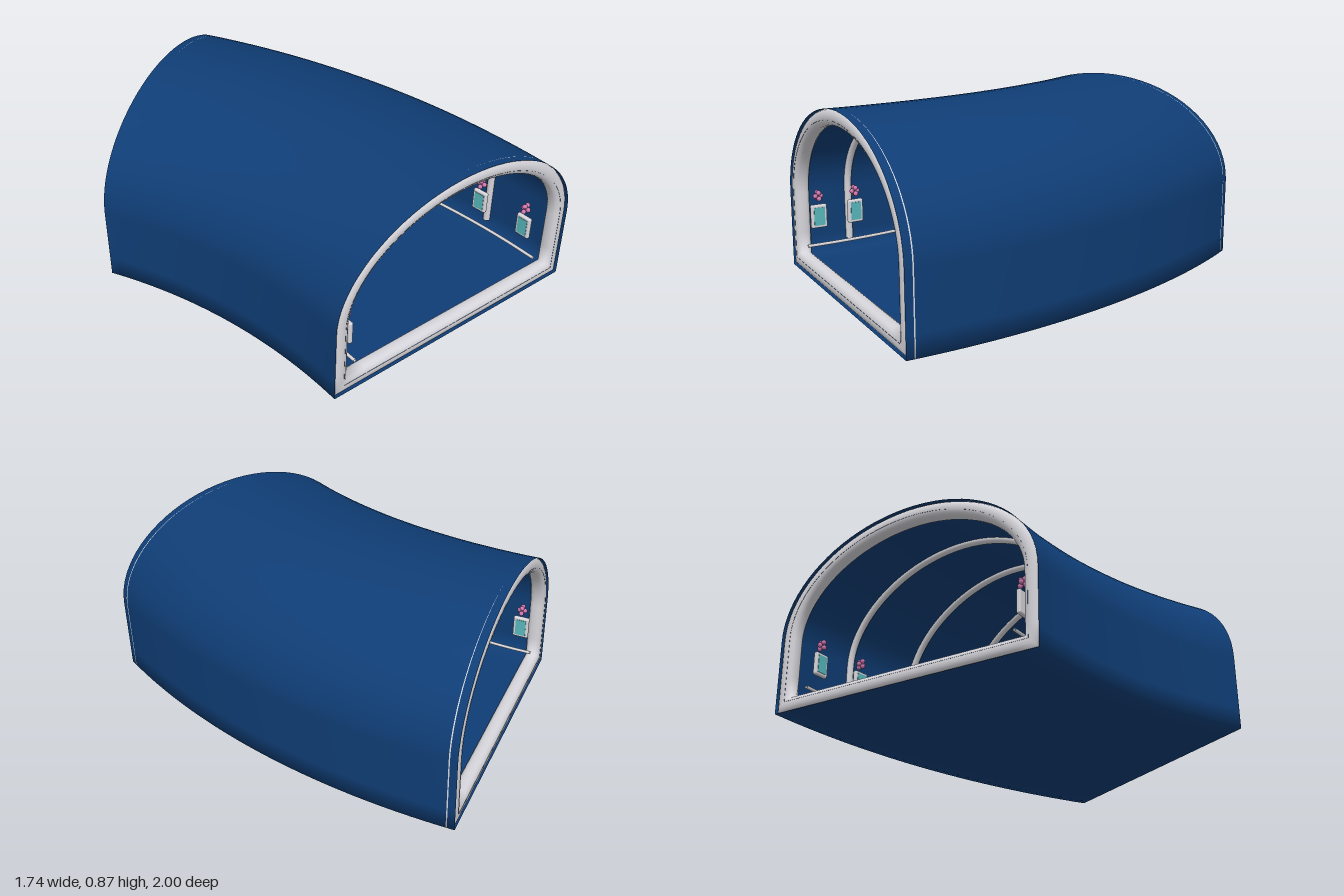
import * as THREE from 'three';
import { RoundedBoxGeometry } from 'three/addons/geometries/RoundedBoxGeometry.js';

// Tunnel bend: a 30 degree arc around a pivot on the right-hand side
const PIVOT_X = -3.13, MID_R = 3.3025, HALF = 0.6975;
const WALL_Y = 0.37, TOP_Y = 0.87, END = Math.PI / 6;
const deg = THREE.MathUtils.degToRad;

const mat = (name, color, side = THREE.FrontSide) => {
  const m = new THREE.MeshStandardMaterial({ color, side });
  m.name = name;
  return m;
};

// Point on the bend: angle, offset across, height, shift along the tunnel
function bend(a, u, y, d = 0) {
  const r = MID_R + u;
  return [PIVOT_X + r * Math.cos(a) - d * Math.sin(a), y, 1 - r * Math.sin(a) - d * Math.cos(a)];
}

// Arch over the walls, from right to left, inset from the outer skin
function arch(inset, n = 40) {
  const pts = [];
  for (let i = 0; i <= n; i++) {
    const t = Math.PI * i / n;
    pts.push([(HALF - inset) * Math.cos(t), WALL_Y + (TOP_Y - WALL_Y - inset) * Math.sin(t)]);
  }
  return pts;
}

// Closed cross-section: floor, walls and arch
function section(inset) {
  const w = HALF - inset, e = w - 0.1;
  return [[-w, inset], [-e, inset], [0, inset], [e, inset], [w, inset], [w, inset + 0.1],
    ...arch(inset), [-w, inset + 0.1]];
}

// Smooth surface from rows of points; each row is a closed loop
function loft(rows, closeRows = false, flip = false) {
  const n = rows[0].length, m = rows.length, index = [];
  for (let i = 0; i < (closeRows ? m : m - 1); i++) {
    for (let j = 0; j < n; j++) {
      const k = (i + 1) % m, l = (j + 1) % n;
      const a = i * n + j, b = i * n + l, c = k * n + l, d = k * n + j;
      if (flip) index.push(a, c, b, a, d, c);
      else index.push(a, b, c, a, c, d);
    }
  }
  const g = new THREE.BufferGeometry();
  g.setAttribute('position', new THREE.Float32BufferAttribute(rows.flat(2), 3));
  g.setIndex(index);
  g.computeVertexNormals();
  return g;
}

export function createModel() {
  const model = new THREE.Group();
  model.name = 'curvedTunnel';
  const blue = mat('deepBlue', 0x0f3d75, THREE.DoubleSide);
  const white = mat('paleGrey', 0xd6d6dc, THREE.DoubleSide);
  const teal = mat('tealGlass', 0x58b8bc);
  const pink = mat('pink', 0xd078b0);

  const add = (name, geometry, material, parent = model) => {
    const mesh = new THREE.Mesh(geometry, material);
    mesh.name = name;
    parent.add(mesh);
    return mesh;
  };
  // Group whose x axis points away from the pivot
  const station = (name, a, u) => {
    const g = new THREE.Group();
    g.name = name;
    g.position.set(...bend(a, u, 0));
    g.rotation.y = a;
    model.add(g);
    return g;
  };

  // Outer skin and inner lining
  const skin = (inset) => {
    const rows = [];
    for (let i = 0; i <= 30; i++) {
      rows.push(section(inset).map(([u, y]) => bend(END * i / 30, u, y)));
    }
    return rows;
  };
  add('outerShell', loft(skin(0), false, false), blue);
  add('innerLining', loft(skin(0.05), false, true), blue);

  // Rounded frames around both openings
  const HALF_T = 0.0385;
  for (const [name, a, dir] of [['frontFrame', 0, 1], ['backFrame', END, -1]]) {
    const rows = [];
    for (let i = 0; i < 20; i++) {
      const t = Math.PI * 2 * i / 20, s = Math.sin(t);
      const depth = HALF_T * (1 + Math.sign(s) * Math.abs(s) ** 0.7) * dir;
      const inset = HALF_T * (1 - Math.cos(t));
      rows.push(section(inset).map(([u, y]) => bend(a, u, y, depth)));
    }
    add(name, loft(rows, true, dir > 0), white);
  }

  // Arched ribs on the lining
  for (const d of [6, 12, 18, 24]) {
    const pts = arch(0.055, 24);
    const foot = HALF - 0.055;
    const path = [[foot, 0.11], [foot, 0.24], ...pts, [-foot, 0.24], [-foot, 0.11]]
      .map(([u, y]) => new THREE.Vector3(u, y, 0));
    const geometry = new THREE.TubeGeometry(new THREE.CatmullRomCurve3(path), 80, 0.018, 10);
    add('rib', geometry, white, station('ribStation', deg(d), 0));
  }

  const panelGeo = new RoundedBoxGeometry(0.022, 0.115, 0.08, 3, 0.008);
  const glassGeo = new THREE.BoxGeometry(0.006, 0.088, 0.054);
  const ballGeo = new THREE.SphereGeometry(0.012, 12, 8);
  const balls = [[-0.014, 0.352, 0], [0.014, 0.352, 0], [0, 0.364, 0.014], [0, 0.364, -0.014], [-0.01, 0.38, 0], [0.01, 0.38, 0]];

  for (const side of [1, -1]) {
    // Low rail along each wall
    const u = side * 0.563, path = [];
    for (let i = 0; i <= 12; i++) path.push(new THREE.Vector3(...bend(deg(0.7 + 28.6 * i / 12), u, 0.122)));
    add('rail', new THREE.TubeGeometry(new THREE.CatmullRomCurve3(path), 60, 0.008, 8), white);

    // Glazed panels topped with blossom clusters
    for (const d of [2, 6, 12, 18, 24, 28]) {
      const g = station('wallPanel', deg(d), side * 0.568);
      add('panelFrame', panelGeo, white, g).position.y = 0.264;
      add('panelGlass', glassGeo, teal, g).position.set(-side * 0.01, 0.264, 0);
      for (const p of balls) add('blossom', ballGeo, pink, g).position.set(...p);
    }
  }
  return model;
}
